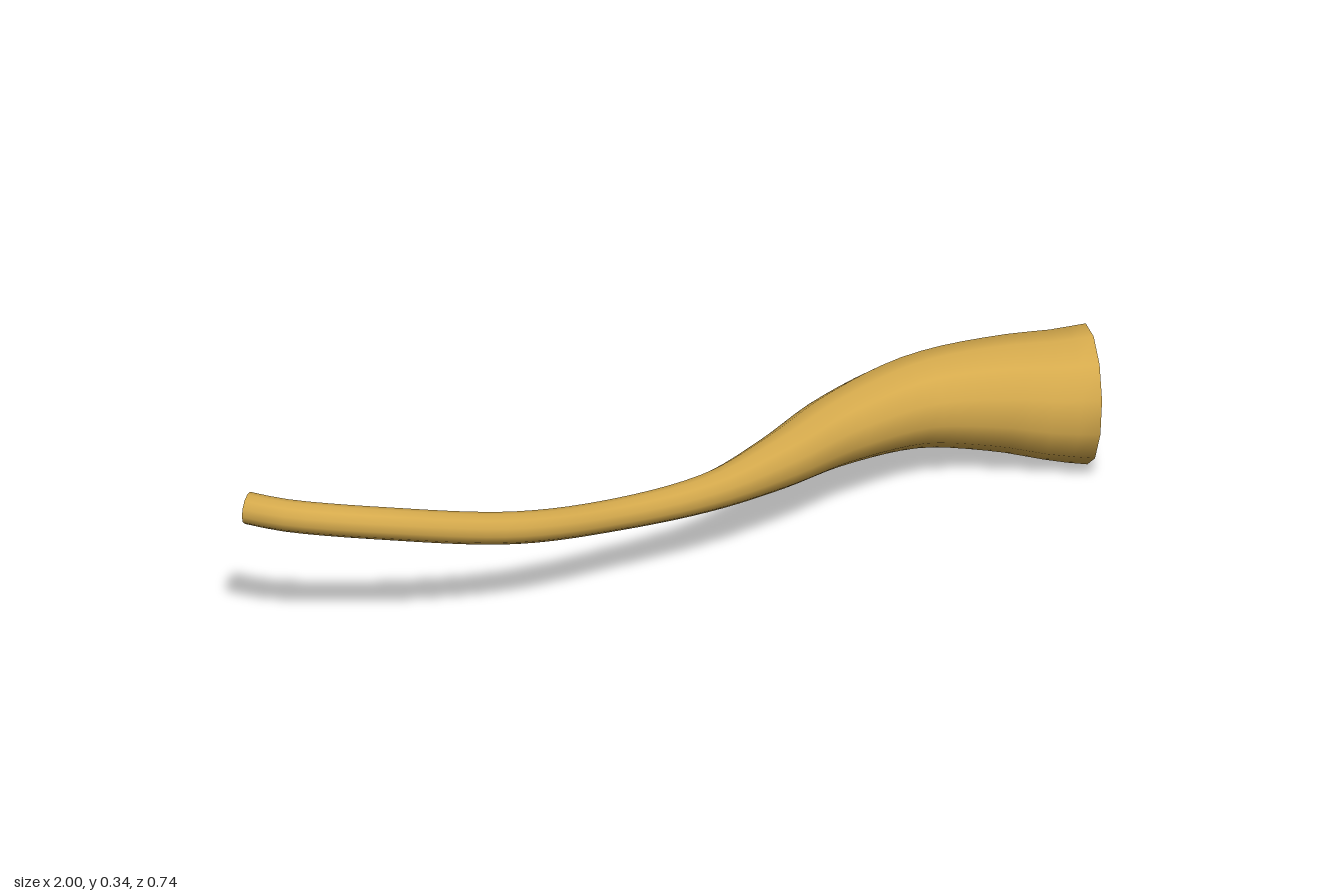
import * as THREE from 'three';

const SIDES = 12, STEPS = 48, PHASE = 0.164;

// Centre line from mouthpiece to bell: x, y, z, radius
const stations = [
  [-0.968, 0.31, -0.36, 0.035],
  [-0.93, 0.307, -0.285, 0.035],
  [-0.77, 0.282, -0.15, 0.035],
  [-0.5, 0.222, -0.032, 0.035],
  [-0.235, 0.181, 0.015, 0.035],
  [0, 0.167, 0.05, 0.042],
  [0.2, 0.166, 0.043, 0.06],
  [0.4, 0.17, 0.023, 0.08],
  [0.61, 0.172, 0.045, 0.102],
  [0.765, 0.167, 0.13, 0.125],
  [0.87, 0.157, 0.209, 0.143],
  [0.92, 0.153, 0.239, 0.151],
];

// Rings of points across the centre line
function makeRings() {
  const path = new THREE.CatmullRomCurve3(stations.map(([x, y, z]) => new THREE.Vector3(x, y, z)));
  const radii = new THREE.SplineCurve(stations.map((s, i) => new THREE.Vector2(i, s[3])));
  const rings = [];
  for (let i = 0; i <= STEPS; i++) {
    const t = path.getUtoTmapping(i / STEPS);
    const centre = path.getPoint(t), tangent = path.getTangent(t);
    const radius = radii.getPoint(t).y;
    const side = tangent.clone().cross(new THREE.Vector3(0, 1, 0)).normalize();
    const up = side.clone().cross(tangent);
    const ring = [];
    for (let j = 0; j < SIDES; j++) {
      const a = PHASE + (j / SIDES) * Math.PI * 2;
      ring.push(centre.clone()
        .addScaledVector(up, radius * Math.cos(a))
        .addScaledVector(side, radius * Math.sin(a)));
    }
    rings.push(ring);
  }
  return rings;
}

function buildGeometry(points, index) {
  const geometry = new THREE.BufferGeometry().setFromPoints(points);
  geometry.setIndex(index);
  geometry.computeVertexNormals();
  return geometry;
}

// Smooth skin joining all rings
function skinGeometry(rings) {
  const index = [];
  for (let i = 0; i < STEPS; i++) {
    for (let j = 0; j < SIDES; j++) {
      const k = (j + 1) % SIDES;
      const a = i * SIDES + j, b = i * SIDES + k;
      index.push(a, b, a + SIDES, b, b + SIDES, a + SIDES);
    }
  }
  return buildGeometry(rings.flat(), index);
}

// Flat polygon closing one end
function capGeometry(ring, reversed) {
  const points = reversed ? [...ring].reverse() : ring;
  const index = [];
  for (let j = 1; j < SIDES - 1; j++) index.push(0, j, j + 1);
  return buildGeometry(points, index);
}

export function createModel() {
  const group = new THREE.Group();
  group.name = 'curvedHorn';
  const brass = new THREE.MeshStandardMaterial({ color: 0xd4a94c });
  brass.name = 'golden horn';

  const rings = makeRings();
  const add = (name, geometry) => {
    const mesh = new THREE.Mesh(geometry, brass);
    mesh.name = name;
    group.add(mesh);
  };
  add('hornBody', skinGeometry(rings));
  add('narrowEnd', capGeometry(rings[0], true));
  add('wideEnd', capGeometry(rings[STEPS], false));
  return group;
}
